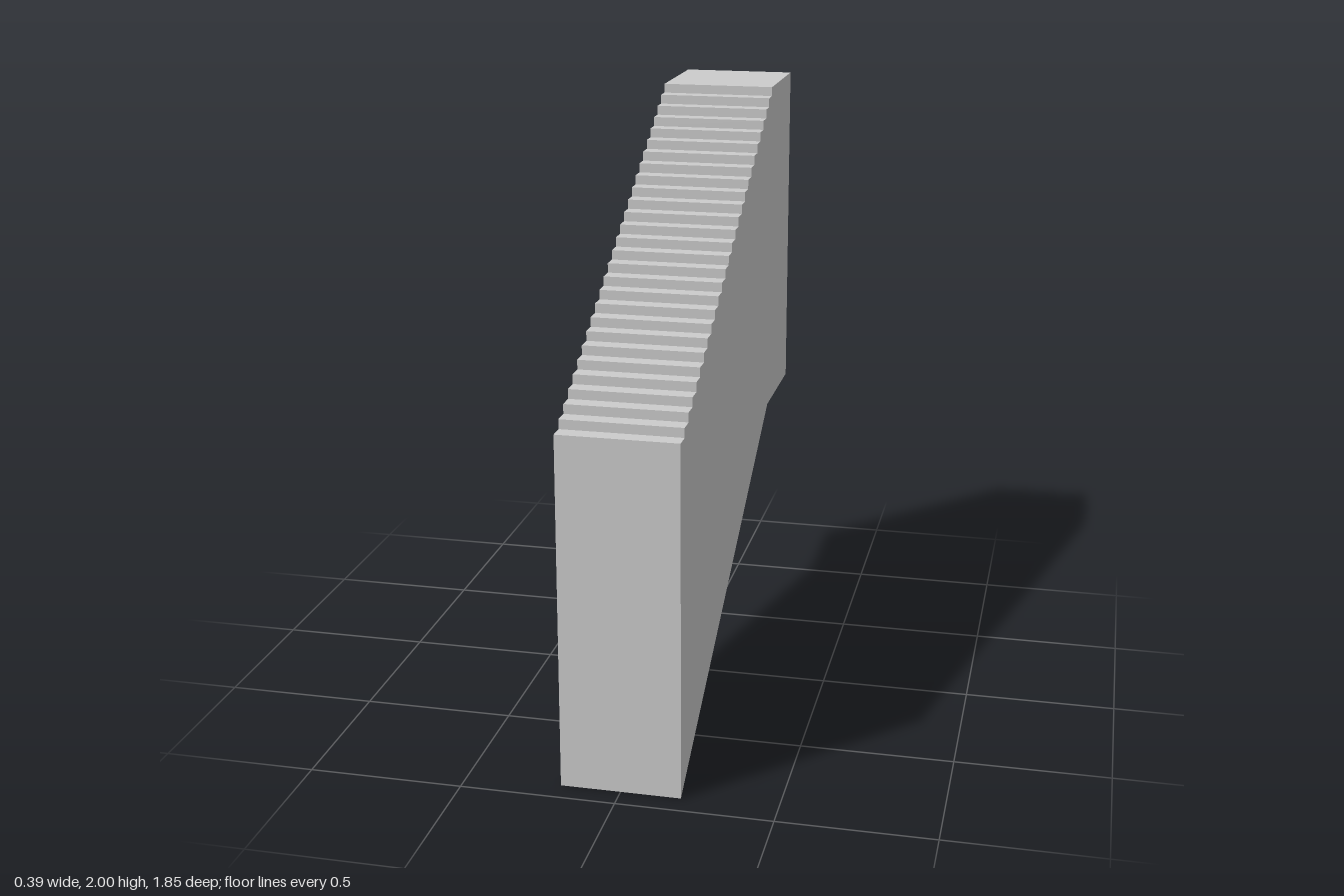
import * as THREE from 'three';

const HALF_DEPTH = 0.925, WIDTH = 0.387;
const STEPS = 27, STAIR_BASE = 1.163, TOP = 2;
const LANDING_Z = -0.536, SOFFIT_Z = -0.525, SOFFIT_Y = 0.84;

// Side profile: x of the shape is the model's z
function sideProfile() {
  const tread = (HALF_DEPTH - LANDING_Z) / STEPS;
  const riser = (TOP - STAIR_BASE) / STEPS;
  const shape = new THREE.Shape();
  // sloping underside and flat base of the landing
  shape.moveTo(-HALF_DEPTH, SOFFIT_Y);
  shape.lineTo(SOFFIT_Z, SOFFIT_Y);
  shape.lineTo(HALF_DEPTH, 0);
  // front wall, then treads and risers up to the landing
  shape.lineTo(HALF_DEPTH, STAIR_BASE);
  for (let i = 1; i <= STEPS; i++) {
    const z = HALF_DEPTH - i * tread;
    shape.lineTo(z, STAIR_BASE + (i - 1) * riser);
    shape.lineTo(z, STAIR_BASE + i * riser);
  }
  shape.lineTo(-HALF_DEPTH, TOP);
  shape.closePath();
  return shape;
}

export function createModel() {
  const group = new THREE.Group();
  group.name = 'staircase';

  // Solid flight of stairs with its landing
  const geometry = new THREE.ExtrudeGeometry(sideProfile(), { depth: WIDTH, bevelEnabled: false });
  geometry.translate(0, 0, -WIDTH / 2);
  geometry.rotateY(-Math.PI / 2);
  const flight = new THREE.Mesh(
    geometry,
    new THREE.MeshStandardMaterial({ color: 0xcccccc, flatShading: true })
  );
  flight.name = 'stairFlightWithLanding';
  group.add(flight);
  return group;
}
